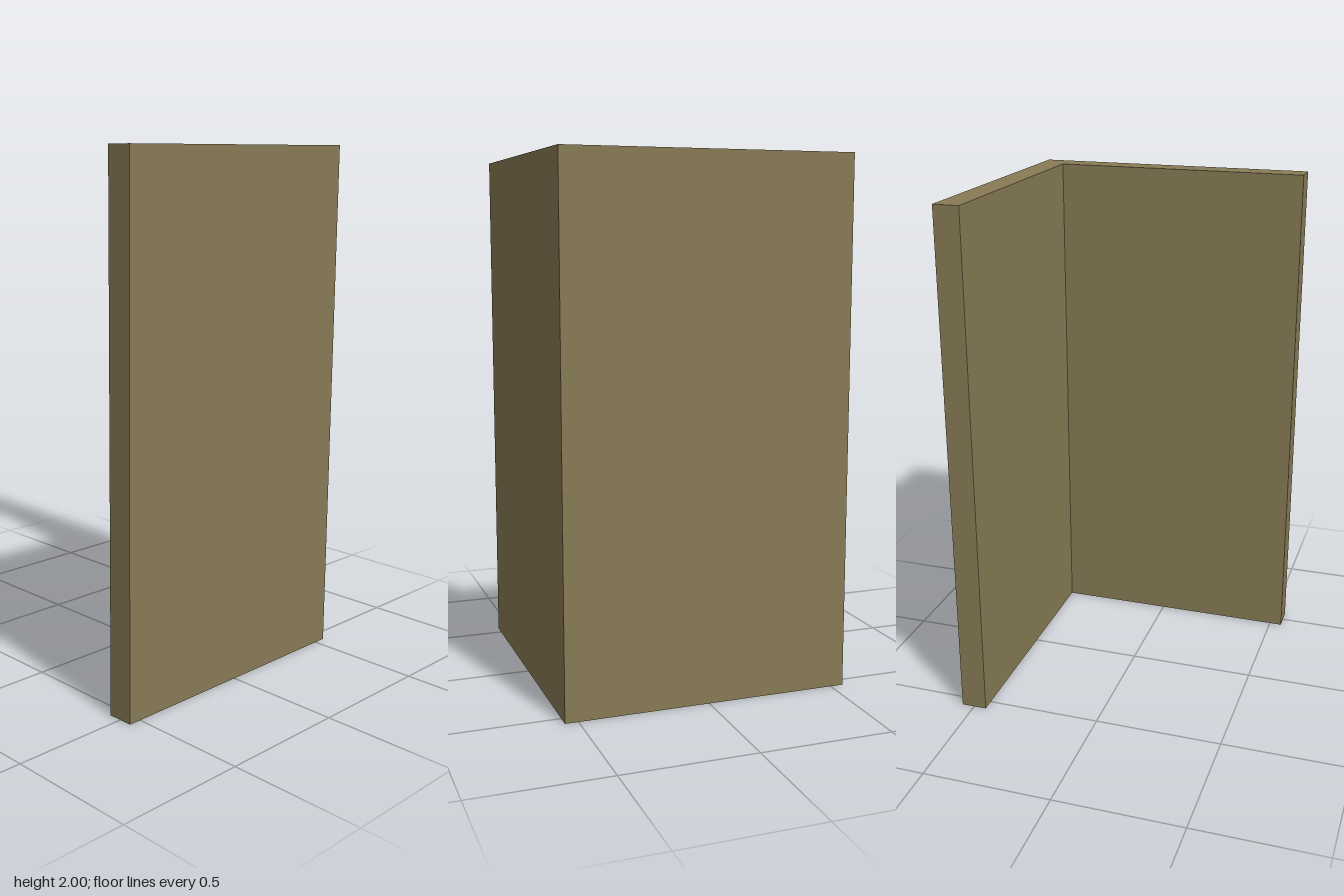
import * as THREE from 'three';

const HALF = 0.55;      // half the width of each wall
const THICKNESS = 0.1;
const HEIGHT = 2;

export function createModel() {
  const group = new THREE.Group();
  group.name = 'cornerWall';

  // L-shaped plan: front wall along x, left wall along z (shape y = -z)
  const inner = HALF - THICKNESS;
  const plan = new THREE.Shape([
    [-HALF, -HALF], [HALF, -HALF], [HALF, HALF],
    [inner, HALF], [inner, -inner], [-HALF, -inner],
  ].map(([x, y]) => new THREE.Vector2(x, y)));

  // Raise the plan to full height
  const geometry = new THREE.ExtrudeGeometry(plan, { depth: HEIGHT, bevelEnabled: false });
  geometry.rotateX(-Math.PI / 2);

  const walls = new THREE.Mesh(geometry, new THREE.MeshStandardMaterial({ color: 0x877a55 }));
  walls.name = 'cornerWalls';
  group.add(walls);
  return group;
}
